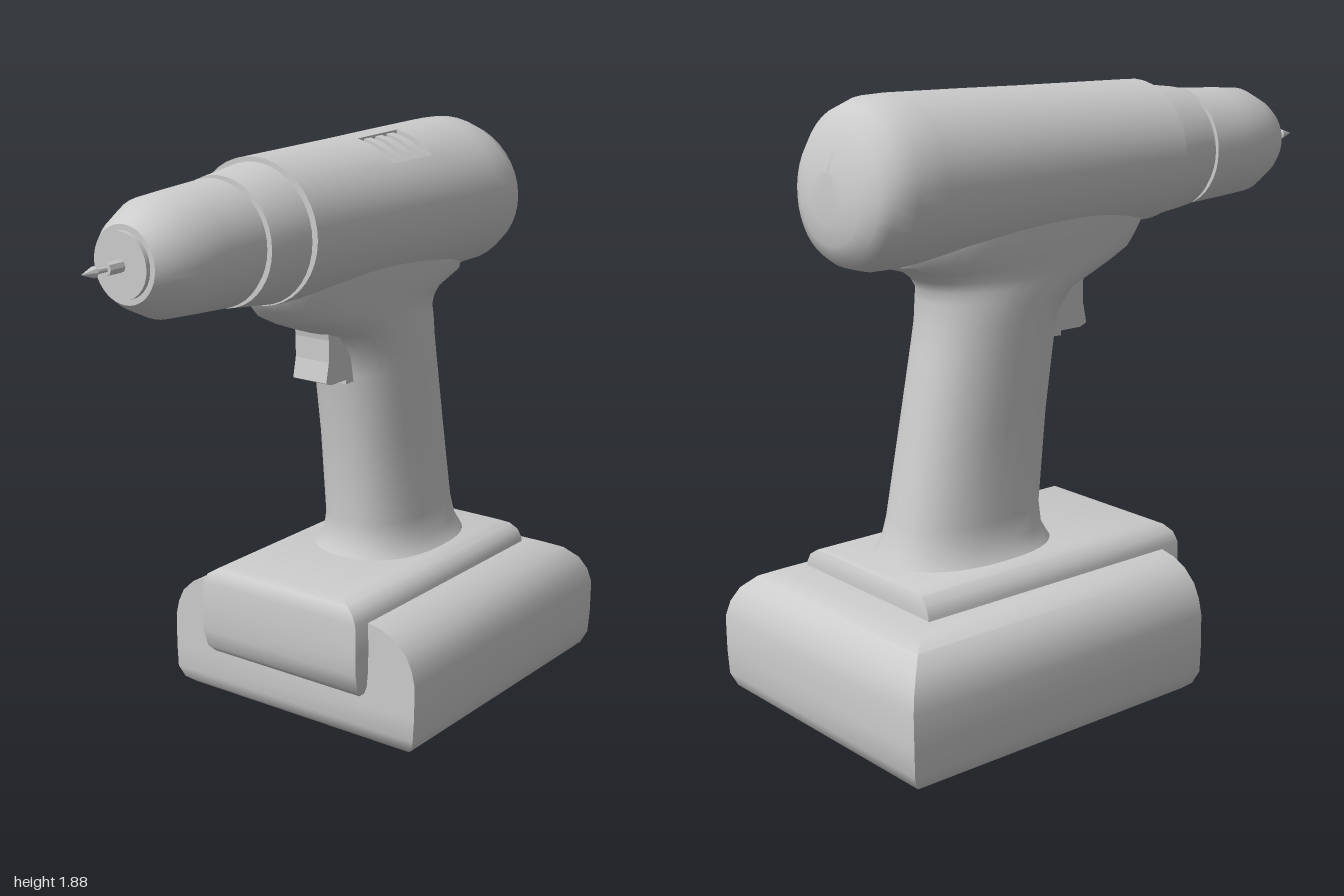
import * as THREE from 'three';
import { toCreasedNormals } from 'three/addons/utils/BufferGeometryUtils.js';

const material = new THREE.MeshStandardMaterial({ color: 0xcccccc });

function addMesh(parent, name, geometry) {
  const mesh = new THREE.Mesh(geometry, material);
  mesh.name = name;
  parent.add(mesh);
  return mesh;
}

// Skins a list of rings; "closed" joins each ring and caps both ends, "skip" leaves quads out
function loft(rings, { closed = true, skip = () => false, crease = 0.7 } = {}) {
  const n = rings[0].length;
  const index = [];
  for (let i = 0; i < rings.length - 1; i++) {
    for (let j = 0; j < (closed ? n : n - 1); j++) {
      if (skip(i, j)) continue;
      const a = i * n + j, b = i * n + (j + 1) % n;
      index.push(a, a + n, b, b, a + n, b + n);
    }
  }
  if (closed) {
    const last = (rings.length - 1) * n;
    for (let j = 1; j < n - 1; j++) {
      index.push(0, j, j + 1, last, last + j + 1, last + j);
    }
  }
  const geometry = new THREE.BufferGeometry().setFromPoints(rings.flat());
  geometry.setIndex(index);
  geometry.computeVertexNormals();
  return toCreasedNormals(geometry, crease);
}

const SIDES = 40;

// Motor housing stations: x, top, bottom, half depth, lean of the ring
const housing = [
  [-0.27, 1.867, 1.425, 0.232, 0],
  [0.19, 1.875, 1.405, 0.242, 0],
  [0.4, 1.88, 1.395, 0.247, 0],
  [0.67, 1.885, 1.388, 0.253, 0],
  [0.77, 1.882, 1.39, 0.253, 0.02],
  [0.83, 1.86, 1.408, 0.235, 0.02],
  [0.865, 1.815, 1.43, 0.2, 0.014],
  [0.888, 1.75, 1.475, 0.145, 0.01],
  [0.902, 1.68, 1.54, 0.08, 0.005],
];
function housingPoint([x, top, bottom, depth, lean], j, scale = 1) {
  const a = (j / SIDES) * Math.PI * 2;
  return new THREE.Vector3(
    x - lean * Math.cos(a),
    (top + bottom) / 2 + ((top - bottom) / 2) * scale * Math.cos(a),
    -depth * scale * Math.sin(a)
  );
}
function stationAt(x) {
  const t = (x - 0.19) / 0.21;
  return housing[1].map((v, k) => v + (housing[2][k] - v) * t);
}

// Ring of a horizontal section: rounded or square cornered
function ovalRing([y, x0, x1, depth]) {
  return Array.from({ length: 36 }, (_, j) => {
    const a = (j / 36) * Math.PI * 2;
    const soft = (v) => Math.sign(v) * Math.abs(v) ** 0.85;
    return new THREE.Vector3((x0 + x1) / 2 + ((x1 - x0) / 2) * soft(Math.cos(a)), y, depth * soft(Math.sin(a)));
  });
}
function squareRing([y, x0, x1, depth]) {
  return [[x1, -depth], [x1, depth], [x0, depth], [x0, -depth]].map(([x, z]) => new THREE.Vector3(x, y, z));
}

// Turned part along the x axis from [x, radius] pairs
function turned(profile, sides) {
  const points = profile.map(([x, r]) => new THREE.Vector2(r, x));
  const geometry = new THREE.LatheGeometry(points, sides);
  geometry.rotateZ(-Math.PI / 2);
  geometry.translate(0, 1.64, 0);
  return toCreasedNormals(geometry, 0.45);
}

function extruded(outline, depth) {
  const shape = new THREE.Shape(outline.map(([x, y]) => new THREE.Vector2(x, y)));
  const geometry = new THREE.ExtrudeGeometry(shape, { depth, bevelEnabled: false });
  return geometry.translate(0, 0, -depth / 2);
}

export function createModel() {
  const model = new THREE.Group();
  model.name = 'cordlessDrill';

  // Motor housing with an opening for the vent
  const first = SIDES - 5, last = SIDES - 1;
  const rings = housing.map((s) => Array.from({ length: SIDES }, (_, j) => housingPoint(s, j)));
  addMesh(model, 'motorHousing', loft(rings, { skip: (i, j) => i === 1 && j >= first && j < last }));

  // Vent pocket and its slats
  const vent = new THREE.Group();
  vent.name = 'vent';
  model.add(vent);
  const columns = [first, first, first + 1, first + 2, first + 3, last, last];
  const pocket = [0.19, 0.19, 0.4, 0.4].map((x, i) =>
    columns.map((j, c) => housingPoint(stationAt(x), j, i % 3 === 0 || c % 6 === 0 ? 1 : 0.88))
  );
  addMesh(vent, 'ventPocket', loft(pocket, { closed: false, crease: 0.4 }));
  for (const x of [0.225, 0.285, 0.345]) {
    const slat = [[x, 0.87], [x, 0.975], [x + 0.035, 0.975], [x + 0.035, 0.87]].map(([sx, scale]) =>
      columns.slice(1, 6).map((j) => housingPoint(stationAt(sx), j, scale))
    );
    addMesh(vent, 'ventSlat', loft(slat, { closed: false, crease: 0.4 }));
  }

  // Handle: foot flare, leaning grip and neck under the housing
  const handle = [
    [0.48, 0.15, 0.74, 0.225],
    [0.505, 0.165, 0.728, 0.205],
    [0.545, 0.185, 0.708, 0.182],
    [0.61, 0.19, 0.69, 0.171],
    [0.9, 0.16, 0.63, 0.168],
    [1.13, 0.125, 0.583, 0.168],
    [1.2, 0.11, 0.57, 0.168],
    [1.27, 0.05, 0.568, 0.168],
    [1.305, -0.05, 0.57, 0.168],
    [1.335, -0.13, 0.59, 0.17],
    [1.365, -0.195, 0.63, 0.174],
    [1.4, -0.23, 0.75, 0.18],
    [1.45, -0.262, 0.76, 0.188],
    [1.55, -0.262, 0.7, 0.19],
  ];
  addMesh(model, 'handle', loft(handle.map(ovalRing), { crease: 0.9 }));

  // Trigger with a hollowed front, and the small ledge below it
  addMesh(model, 'trigger', extruded([
    [-0.005, 1.34], [0.008, 1.27], [0.008, 1.2], [-0.005, 1.135], [0.02, 1.125],
    [0.1, 1.125], [0.15, 1.14], [0.15, 1.33],
  ], 0.13));
  addMesh(model, 'triggerLedge', extruded([[0.1, 1.11], [0.14, 1.112], [0.23, 1.135], [0.1, 1.145]], 0.13));

  // Battery pack
  const battery = [
    [0, -0.04, 0.93, 0.4],
    [0.01, -0.07, 0.955, 0.44],
    [0.03, -0.095, 0.98, 0.465],
    [0.07, -0.11, 0.997, 0.482],
    [0.15, -0.11, 1, 0.486],
    [0.26, -0.11, 1, 0.486],
    [0.31, -0.11, 0.988, 0.474],
    [0.355, -0.11, 0.965, 0.452],
    [0.395, -0.11, 0.925, 0.41],
    [0.418, -0.11, 0.875, 0.36],
    [0.43, -0.11, 0.81, 0.3],
  ];
  addMesh(model, 'battery', loft(battery.map(squareRing)));

  // Mount plate that folds down over the front of the battery
  const mount = [
    [0.18, -0.1, 0.8, 0.28],
    [0.185, -0.135, 0.8, 0.295],
    [0.21, -0.16, 0.8, 0.305],
    [0.27, -0.176, 0.8, 0.31],
    [0.34, -0.178, 0.81, 0.31],
    [0.44, -0.178, 0.81, 0.308],
    [0.47, -0.172, 0.808, 0.292],
    [0.49, -0.158, 0.8, 0.262],
    [0.498, -0.135, 0.785, 0.225],
  ];
  addMesh(model, 'batteryMount', loft(mount.map(squareRing)));

  // Chuck, collar and bit
  addMesh(model, 'chuck', turned([
    [-0.848, 0], [-0.848, 0.095], [-0.833, 0.095], [-0.833, 0.112], [-0.8, 0.135], [-0.72, 0.172],
    [-0.6, 0.18], [-0.455, 0.188], [-0.455, 0.176], [-0.432, 0.176], [-0.432, 0.193],
    [-0.265, 0.213], [-0.265, 0],
  ], 40));
  addMesh(model, 'bit', turned([
    [-1, 0], [-0.95, 0.017], [-0.945, 0.008], [-0.905, 0.008], [-0.905, 0.019], [-0.84, 0.019],
  ], 8));

  return model;
}
